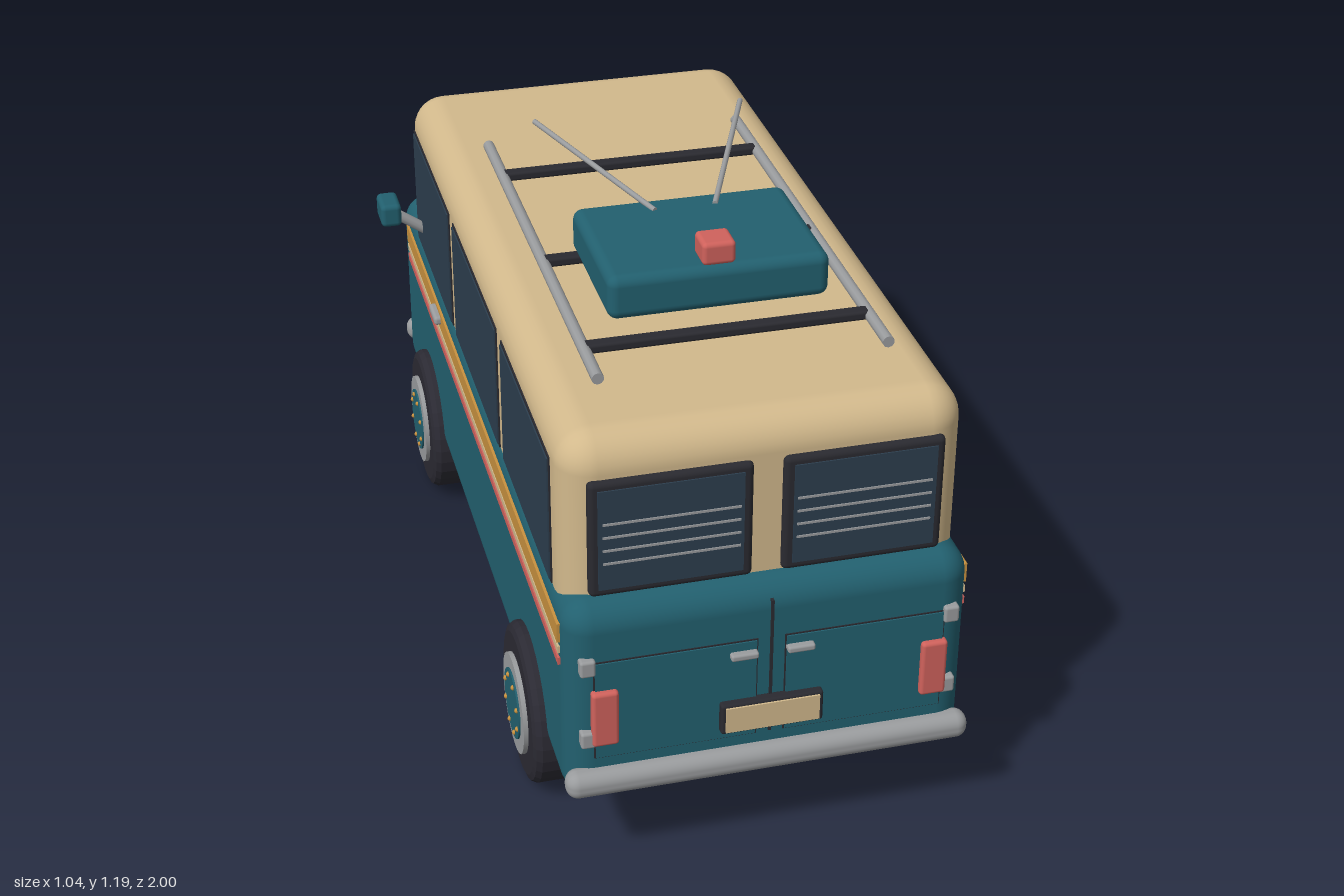
import * as THREE from 'three';
import { RoundedBoxGeometry } from 'three/addons/geometries/RoundedBoxGeometry.js';

const mat = (name, color) => Object.assign(new THREE.MeshStandardMaterial({ color }), { name });

export function createModel() {
  const van = new THREE.Group();
  van.name = 'van';
  const teal = mat('teal paint', 0x22606f);
  const cream = mat('cream paint', 0xd2b98c);
  const glass = mat('dark glass', 0x2c3e4e);
  const dark = mat('dark trim', 0x2a2a30);
  const rubber = mat('tyre rubber', 0x2b2a33);
  const grey = mat('grey metal', 0x9a9c9e);
  const red = mat('red', 0xd0625c);
  const ochre = mat('ochre', 0xc8913f);

  const add = (name, geometry, material, parent = van) => {
    const mesh = new THREE.Mesh(geometry, material);
    mesh.name = name;
    parent.add(mesh);
    return mesh;
  };
  // Box given by its limits; r rounds the edges
  const box = (name, material, [x0, x1], [y0, y1], [z0, z1], r = 0, seg = 3) => {
    const w = x1 - x0, h = y1 - y0, d = z1 - z0;
    const g = r ? new RoundedBoxGeometry(w, h, d, seg, r) : new THREE.BoxGeometry(w, h, d);
    const mesh = add(name, g, material);
    mesh.position.set((x0 + x1) / 2, (y0 + y1) / 2, (z0 + z1) / 2);
    return mesh;
  };
  // The same box on both sides; x limits are given for the left
  const pair = (name, material, [x0, x1], y, z, r) => {
    box(name + 'Left', material, [x0, x1], y, z, r);
    box(name + 'Right', material, [-x1, -x0], y, z, r);
  };
  // Round bar between two points
  const bar = (name, material, a, b, radius) => {
    const p = new THREE.Vector3(...a), q = new THREE.Vector3(...b);
    const mesh = add(name, new THREE.CylinderGeometry(radius, radius, p.distanceTo(q), 10), material);
    mesh.position.copy(p).add(q).multiplyScalar(0.5);
    mesh.quaternion.setFromUnitVectors(new THREE.Vector3(0, 1, 0), q.sub(p).normalize());
    return mesh;
  };

  // Shell
  box('lowerBody', teal, [-0.42, 0.42], [0.165, 0.645], [-0.968, 0.968], 0.06, 4);
  box('cabin', cream, [-0.41, 0.41], [0.5, 0.99], [-0.81, 0.915], 0.075, 4);

  // Sloped windscreen, extruded across the cab
  const side = new THREE.Shape([[0.79, 0.91], [0.813, 0.91], [0.853, 0.64], [0.79, 0.64]]
    .map(([z, y]) => new THREE.Vector2(z, y)));
  const screen = new THREE.ExtrudeGeometry(side, {
    depth: 0.72, bevelThickness: 0.01, bevelSize: 0.008, bevelSegments: 2 });
  screen.translate(0, 0, -0.36).rotateY(Math.PI / 2);
  add('windscreen', screen, glass);

  // Side windows
  for (const z of [[0.345, 0.82], [-0.215, 0.295], [-0.74, -0.265]]) {
    pair('sideWindowFrame', dark, [0.405, 0.413], [0.62, 0.912], z);
    pair('sideWindow', glass, [0.406, 0.416], [0.626, 0.906], [z[0] + 0.006, z[1] - 0.006]);
  }

  // Side stripes and cab door handles
  const run = [-0.87, 0.92];
  pair('wideStripe', ochre, [0.416, 0.425], [0.548, 0.592], run);
  pair('paleStripe', cream, [0.416, 0.424], [0.522, 0.538], run);
  pair('redStripe', red, [0.416, 0.424], [0.494, 0.511], run);
  pair('cabDoorHandle', grey, [0.418, 0.44], [0.562, 0.584], [-0.455, -0.375], 0.008);

  // Rear windows with heating lines
  pair('rearWindowFrame', dark, [0.03, 0.36], [0.645, 0.907], [0.9, 0.928], 0.012);
  pair('rearWindow', glass, [0.05, 0.342], [0.664, 0.89], [0.925, 0.931]);
  for (const y of [0.725, 0.755, 0.785, 0.815])
    pair('heatingLine', grey, [0.057, 0.333], [y - 0.0025, y + 0.0025], [0.93, 0.933]);

  // Rear doors, handles, hinges and lamps
  pair('rearDoorSeam', dark, [0.028, 0.364], [0.287, 0.522], [0.962, 0.97]);
  pair('rearDoorPanel', teal, [0.031, 0.361], [0.29, 0.519], [0.963, 0.973]);
  box('rearCentreSeam', dark, [-0.003, 0.003], [0.29, 0.61], [0.96, 0.972]);
  pair('rearDoorHandle', grey, [0.03, 0.087], [0.485, 0.5], [0.965, 0.988], 0.005);
  for (const y of [[0.495, 0.533], [0.32, 0.358]])
    pair('hinge', grey, [0.36, 0.392], y, [0.95, 0.98], 0.006);
  pair('tailLamp', red, [0.315, 0.37], [0.325, 0.455], [0.96, 0.986], 0.008);
  box('plateFrame', dark, [-0.107, 0.107], [0.31, 0.382], [0.965, 0.99], 0.006);
  box('plate', cream, [-0.098, 0.098], [0.317, 0.376], [0.985, 0.994]);

  // Bumpers
  box('rearBumper', grey, [-0.425, 0.425], [0.203, 0.262], [0.943, 1], 0.026, 4);
  box('frontBumper', grey, [-0.425, 0.425], [0.203, 0.262], [-1, -0.943], 0.026, 4);

  // Nose: lamps and grille with a mesh of bars
  pair('headlamp', cream, [0.235, 0.385], [0.413, 0.498], [-0.986, -0.955], 0.01);
  pair('indicator', ochre, [0.26, 0.365], [0.357, 0.39], [-0.984, -0.955], 0.008);
  box('grille', dark, [-0.19, 0.19], [0.38, 0.495], [-0.978, -0.96]);
  for (let i = 0; i < 5; i++) {
    const y = 0.395 + i * 0.021;
    box('grilleSlat', rubber, [-0.19, 0.19], [y - 0.004, y + 0.004], [-0.986, -0.975]);
  }
  for (let i = 0; i < 13; i++) {
    const x = -0.18 + i * 0.03;
    box('grilleBar', rubber, [x - 0.004, x + 0.004], [0.38, 0.495], [-0.985, -0.975]);
  }

  // Mirrors
  pair('mirror', teal, [0.47, 0.52], [0.714, 0.772], [-0.705, -0.618], 0.012);
  for (const s of [-1, 1])
    bar('mirrorArm', grey, [s * 0.4, 0.675, -0.66], [s * 0.478, 0.73, -0.66], 0.013);

  // Wheels: axis along x, outer face towards +x
  const tyreProfile = [[0, -0.047], [0.155, -0.047], [0.175, -0.035], [0.175, 0.03],
    [0.168, 0.042], [0.155, 0.047], [0.105, 0.047], [0.1, 0.035], [0, 0.035]]
    .map(([r, h]) => new THREE.Vector2(r, h));
  const tyre = new THREE.LatheGeometry(tyreProfile, 32).toNonIndexed();
  tyre.computeVertexNormals();
  tyre.rotateZ(-Math.PI / 2);
  const disc = (r, h) => new THREE.CylinderGeometry(r, r, h, 28).rotateZ(-Math.PI / 2);
  for (const z of [0.61, -0.6]) for (const s of [1, -1]) {
    const wheel = new THREE.Group();
    wheel.name = (z > 0 ? 'rear' : 'front') + 'Wheel' + (s > 0 ? 'Left' : 'Right');
    wheel.position.set(s * 0.402, 0.175, z);
    wheel.rotation.y = s > 0 ? 0 : Math.PI;
    add('tyre', tyre, rubber, wheel);
    add('rim', disc(0.11, 0.03), grey, wheel).position.x = 0.042;
    add('hubCap', disc(0.077, 0.008), teal, wheel).position.x = 0.057;
    for (let i = 0; i < 8; i++) {
      const a = (i + 0.5) * Math.PI / 4;
      add('bolt', new THREE.SphereGeometry(0.006, 8, 6), ochre, wheel)
        .position.set(0.061, 0.064 * Math.sin(a), 0.064 * Math.cos(a));
    }
    van.add(wheel);
  }

  // Roof rack
  for (const s of [-1, 1])
    bar('rackRail', grey, [s * 0.296, 1.028, -0.36], [s * 0.296, 1.028, 0.745], 0.0125);
  for (const z of [0.62, 0.24, -0.19])
    box('rackCrossbar', dark, [-0.305, 0.305], [1.019, 1.039], [z - 0.015, z + 0.015], 0.006);

  // Roof box with beacon and two aerials
  box('roofBox', teal, [-0.231, 0.231], [1.045, 1.142], [0.225, 0.565], 0.022, 4);
  box('beacon', red, [-0.035, 0.035], [1.14, 1.19], [0.484, 0.554], 0.01);
  for (const s of [-1, 1])
    bar('aerial', grey, [s * 0.065, 1.142, 0.285], [s * 0.235, 1.186, -0.12], 0.006);

  return van;
}
